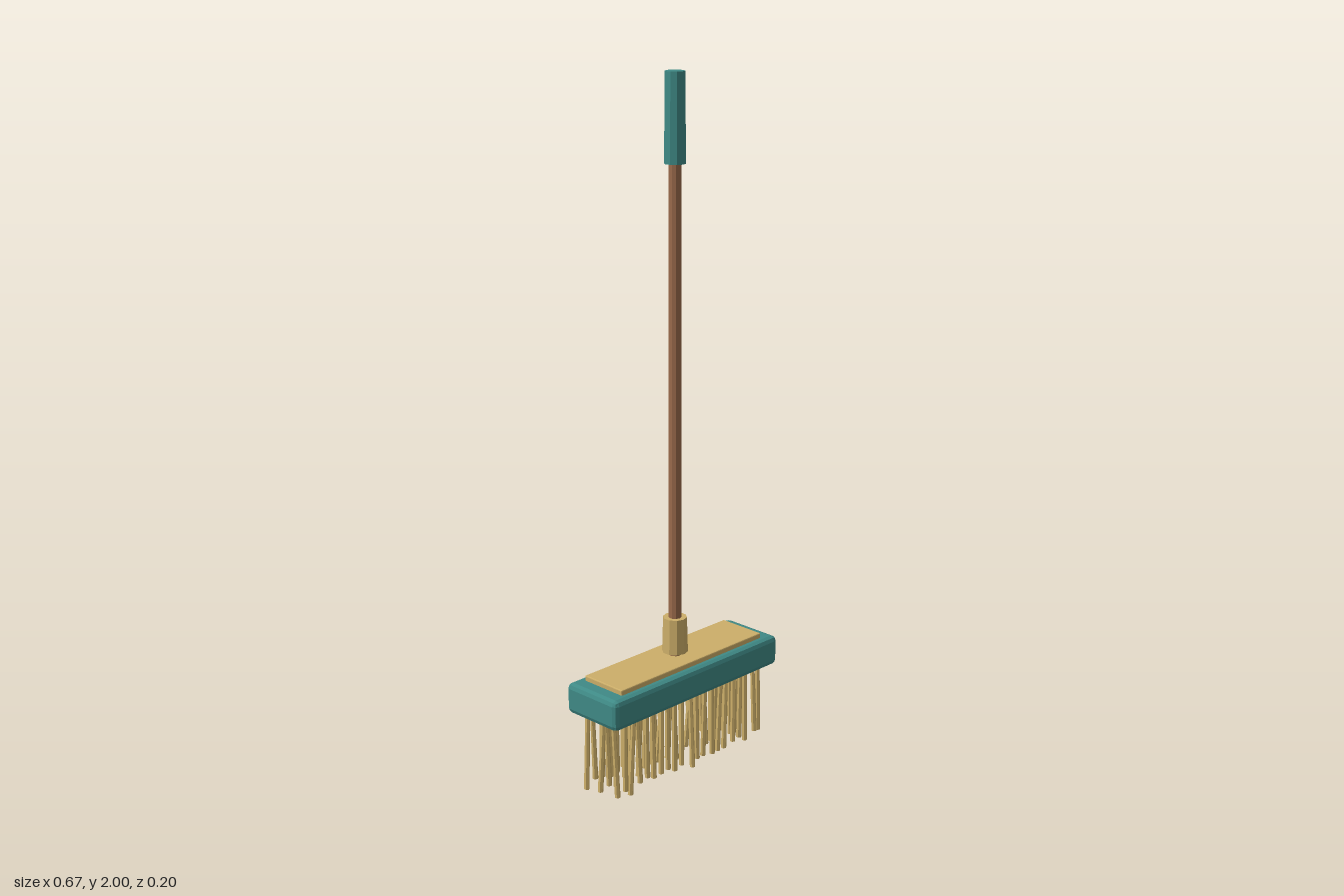
import * as THREE from 'three';
import { RoundedBoxGeometry } from 'three/addons/geometries/RoundedBoxGeometry.js';

const paint = (name, color) => {
  const m = new THREE.MeshStandardMaterial({ color });
  m.name = name;
  m.flatShading = true;
  return m;
};

// Small seeded generator for the uneven bristles
function seeded(seed) {
  return () => {
    seed = (seed * 16807) % 2147483647;
    return seed / 2147483647;
  };
}

export function createModel() {
  const teal = paint('teal', 0x3f8a86);
  const tan = paint('straw', 0xccae69);
  const brown = paint('wood', 0x9a6b4b);

  const broom = new THREE.Group();
  broom.name = 'broom';
  const add = (name, geometry, material, y, parent = broom) => {
    const mesh = new THREE.Mesh(geometry, material);
    mesh.name = name;
    mesh.position.y = y;
    parent.add(mesh);
    return mesh;
  };
  // Upright ten-sided rod between two heights
  const rod = (name, material, rTop, rBottom, y0, y1) =>
    add(name, new THREE.CylinderGeometry(rTop, rBottom, y1 - y0, 10), material, (y0 + y1) / 2);

  // Head block and its top plate
  add('headBlock', new RoundedBoxGeometry(0.666, 0.09, 0.198, 1, 0.015), teal, 0.285);
  add('topPlate', new RoundedBoxGeometry(0.57, 0.024, 0.148, 1, 0.003), tan, 0.333);

  // Handle, socket collar and grip
  rod('handle', brown, 0.0175, 0.0195, 0.33, 1.8);
  rod('collar', tan, 0.0345, 0.0375, 0.355, 0.46);
  rod('grip', teal, 0.0275, 0.0295, 1.756, 2.0);

  // Three rows of tilted bristles
  const bristles = new THREE.Group();
  bristles.name = 'bristles';
  broom.add(bristles);
  const random = seeded(4217);
  const columns = 21;
  for (const z of [-0.06, 0, 0.06]) {
    for (let i = 0; i < columns; i++) {
      const bottom = 0.003 + random() * 0.032;
      const length = 0.255 - bottom;
      const bristle = add('bristle', new THREE.CylinderGeometry(0.0068, 0.0082, length, 6), tan, bottom + length / 2, bristles);
      bristle.position.x = -0.295 + (0.59 * i) / (columns - 1) + (random() - 0.5) * 0.012;
      bristle.position.z = z;
      bristle.rotation.set((random() - 0.5) * 0.1, 0, (random() - 0.5) * 0.12);
    }
  }
  return broom;
}
